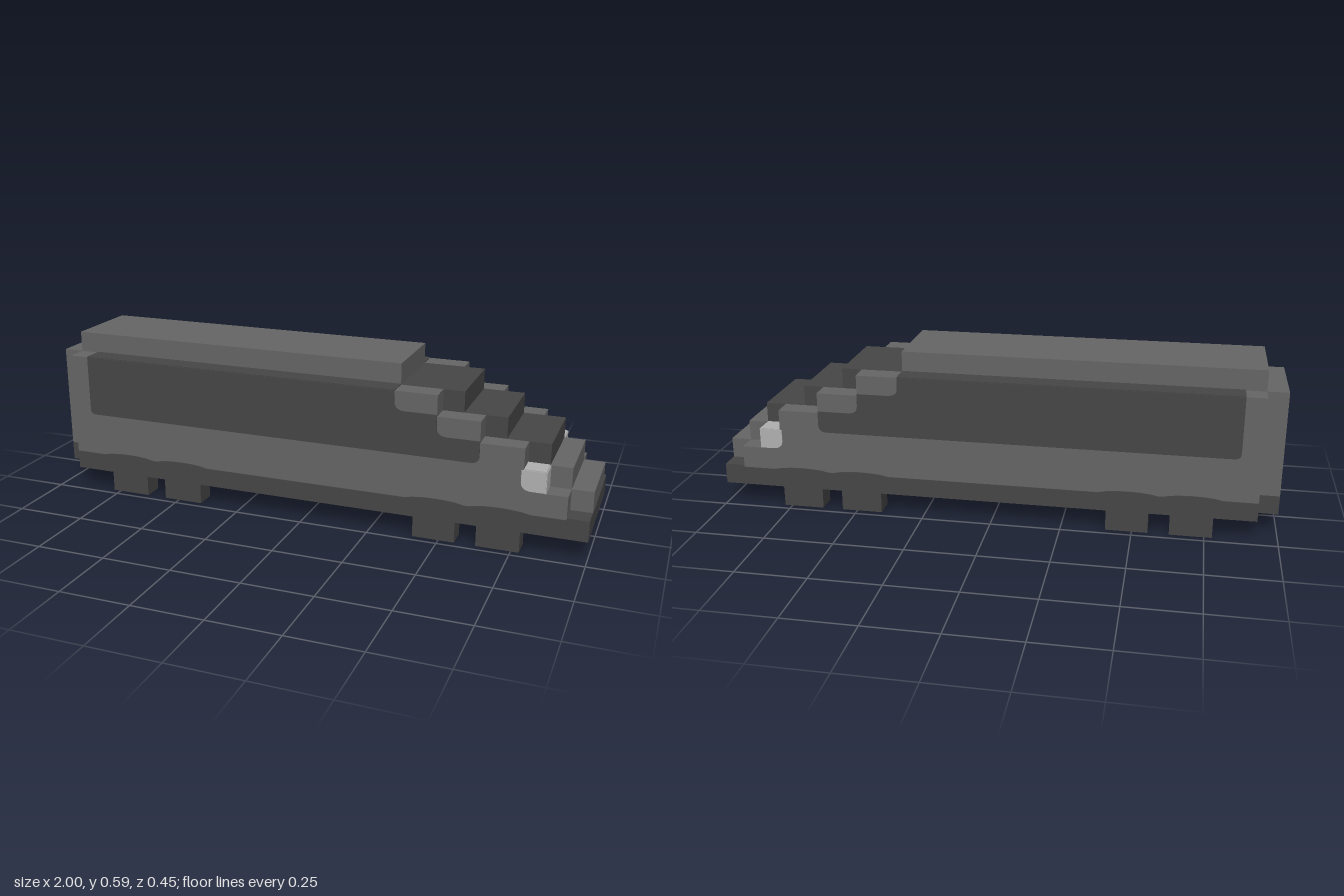
import * as THREE from 'three';

const U = 2 / 27; // one block
const SKIRT_TOP = 0.142 / U;
const T = 0.003; // thickness of painted plates

const mat = (name, color) => {
  const m = new THREE.MeshStandardMaterial({ color });
  m.name = name;
  return m;
};

export function createModel() {
  const grey = mat('body grey', 0x656565);
  const dark = mat('dark grey', 0x464646);
  const pale = mat('lamp white', 0xb0b0b0);
  const model = new THREE.Group();
  model.name = 'locomotive';

  // All helpers take block coordinates: x from 0 (tail) to 27 (nose), y from 0 (ground), z from -3 to 3
  const add = (name, geo, material) => {
    const mesh = new THREE.Mesh(geo, material);
    mesh.name = name;
    model.add(mesh);
    return mesh;
  };
  const box = (name, material, x0, x1, y0, y1, z0, z1) => {
    const geo = new THREE.BoxGeometry((x1 - x0) * U, (y1 - y0) * U, (z1 - z0) * U);
    geo.translate(((x0 + x1) / 2 - 13.5) * U, ((y0 + y1) / 2) * U, ((z0 + z1) / 2) * U);
    return add(name, geo, material);
  };
  const slab = (name, material, shape, z0, z1) => {
    const geo = new THREE.ExtrudeGeometry(shape, { depth: z1 - z0, bevelEnabled: false, curveSegments: 6 });
    geo.translate(-13.5, 0, z0);
    geo.scale(U, U, U);
    return add(name, geo, material);
  };
  const poly = (pts) => new THREE.Shape(pts.map(([x, y]) => new THREE.Vector2(x, y)));
  const t = T / U;

  // Stepped central hull with raised roof
  slab('centralHull', grey, poly([[0, SKIRT_TOP], [27, SKIRT_TOP], [27, 3], [26, 3], [26, 4],
    [18, 4], [18, 8], [1, 8], [1, 7], [0, 7]]), -2, 2);

  // Dark stepped windscreen
  slab('windscreen', dark, poly([[18, 4], [25, 4], [25, 5], [23, 5], [23, 6], [21, 6], [21, 7], [18, 7]]), -2, 2);

  // Underframe and skirt
  box('skirt', dark, 1, 27, 1, SKIRT_TOP, -3, 3);
  box('rearSkirt', dark, 0, 1, 1, SKIRT_TOP, -2, 2);

  // Side window outline with stepped, rounded front corners
  const windowShape = new THREE.Shape();
  windowShape.moveTo(1.95, 7);
  windowShape.lineTo(1.95, 4.3);
  windowShape.quadraticCurveTo(1.95, 4.03, 2.25, 4.03);
  windowShape.lineTo(21.6, 4.03);
  windowShape.quadraticCurveTo(22, 4.03, 22, 4.4);
  windowShape.lineTo(22, 5.08);
  windowShape.lineTo(20.5, 5.08);
  windowShape.quadraticCurveTo(20, 5.08, 20, 5.5);
  windowShape.lineTo(20, 6.08);
  windowShape.lineTo(18.5, 6.08);
  windowShape.quadraticCurveTo(18, 6.08, 18, 6.5);
  windowShape.lineTo(18, 7);

  // Lamp face with a rounded lower rear corner
  const lampShape = new THREE.Shape();
  lampShape.moveTo(25, 4);
  lampShape.lineTo(23.9, 4);
  lampShape.lineTo(23.9, 3.4);
  lampShape.quadraticCurveTo(23.95, 3.03, 24.4, 3.03);
  lampShape.lineTo(25, 3.03);

  // Wavy upper edge of the skirt, humped over each wheel
  const wheels = [3, 6, 19, 22];
  const wave = new THREE.Shape();
  wave.moveTo(1, 1.7);
  wave.lineTo(1, SKIRT_TOP);
  for (const x of wheels) {
    wave.lineTo(x - 0.4, SKIRT_TOP);
    wave.bezierCurveTo(x + 0.2, 2.1, x + 1.8, 2.1, x + 2.4, SKIRT_TOP);
  }
  wave.lineTo(26, SKIRT_TOP);
  wave.lineTo(26, 1.7);

  for (const s of [1, -1]) {
    const span = (a, b) => (s > 0 ? [a, b] : [-b, -a]);
    const side = s > 0 ? 'front' : 'back';
    const outer = span(2, 3);
    const plate = span(3, 3 + t);

    // Stepped flank
    slab(side + 'Flank', grey, poly([[1, SKIRT_TOP], [26, SKIRT_TOP], [26, 3], [25, 3], [25, 4], [24, 4],
      [24, 5], [22, 5], [22, 6], [20, 6], [20, 7], [1, 7]]), ...outer);
    box(side + 'NoseShelf', dark, 26, 27, SKIRT_TOP, 2, ...outer);

    // Painted side window and its top edge
    slab(side + 'Window', dark, windowShape, ...plate);
    box(side + 'WindowTop', dark, 1.95, 18, 7, 7 + t, ...outer);
    slab(side + 'SkirtWave', dark, wave, ...plate);

    // Headlamp: side, top and nose faces
    slab(side + 'LampSide', pale, lampShape, ...plate);
    box(side + 'LampTop', pale, 24, 25, 4, 4 + t, ...outer);
    box(side + 'LampFront', pale, 25, 25 + t, 3, 4, ...outer);

    // Wheels
    for (const x of wheels) box(side + 'Wheel', dark, x, x + 2, 0, 1, ...outer);
  }

  // Rounded window in the tail
  const port = new THREE.CylinderGeometry(1.08 * U, 1.08 * U, T, 20);
  port.rotateZ(Math.PI / 2);
  port.translate(-1, 5 * U, 0);
  add('tailWindow', port, dark);

  return model;
}
